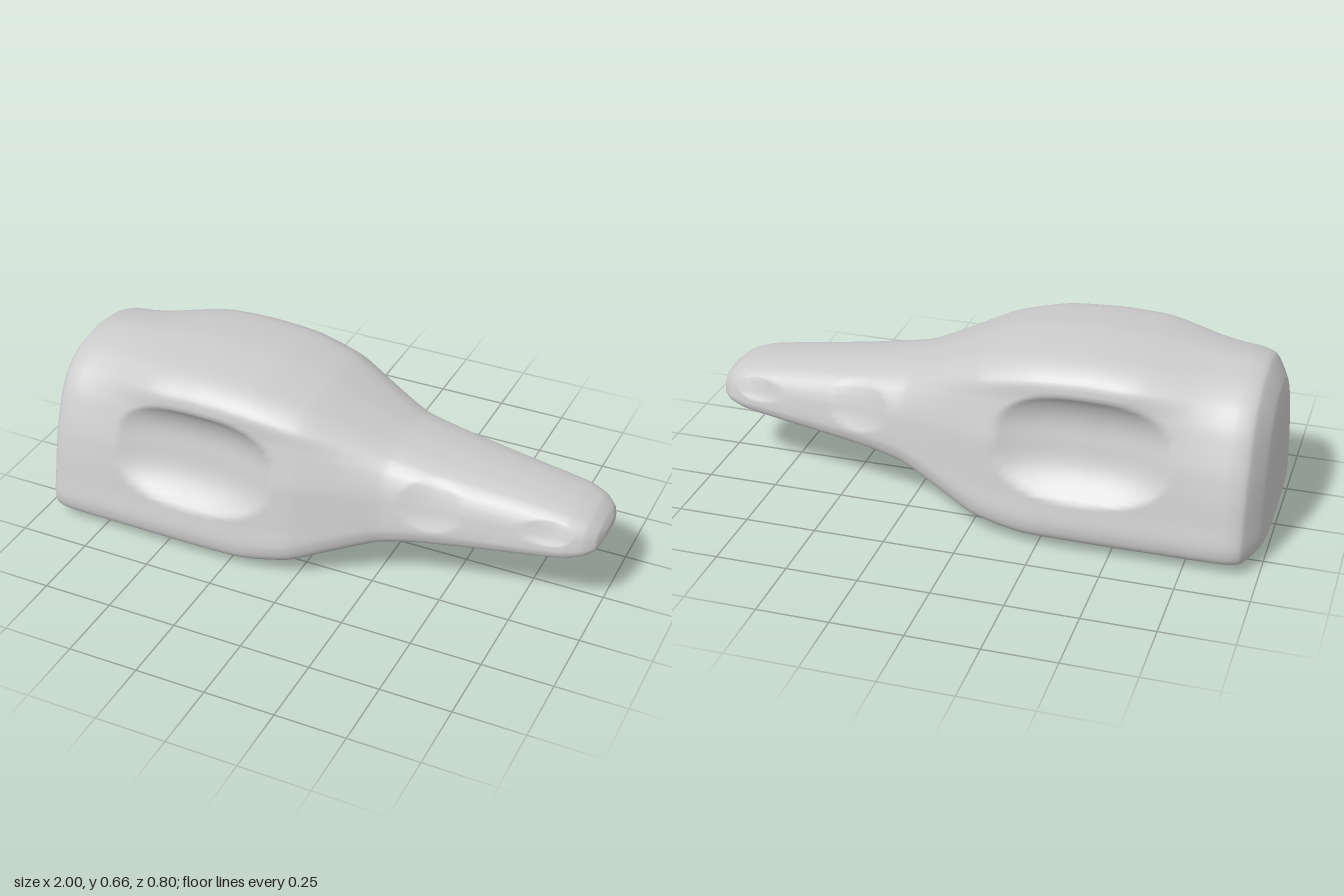
import * as THREE from 'three';

const { smoothstep } = THREE.MathUtils;
const RINGS_PER_SPAN = 10, SIDES = 132;

// Stations along the length: x, bottom y, top y, half width
const stations = [
  [-1, 0.28, 0.28, 0], [-1, 0.07, 0.45, 0.21], [-0.985, 0.03, 0.53, 0.285],
  [-0.94, 0.006, 0.6, 0.375], [-0.88, 0.002, 0.62, 0.394], [-0.73, 0, 0.636, 0.396],
  [-0.57, 0, 0.655, 0.399], [-0.39, 0, 0.663, 0.4], [-0.2, 0.003, 0.651, 0.396],
  [-0.02, 0.03, 0.61, 0.372], [0.13, 0.081, 0.546, 0.313], [0.27, 0.131, 0.487, 0.258],
  [0.42, 0.165, 0.456, 0.236], [0.6, 0.187, 0.431, 0.208], [0.8, 0.211, 0.405, 0.182],
  [0.89, 0.226, 0.389, 0.17], [0.95, 0.24, 0.368, 0.145], [0.985, 0.258, 0.34, 0.11],
  [1, 0.285, 0.315, 0.05], [1, 0.3, 0.3, 0],
];

// Half cross-sections from top to bottom: width fraction, height fraction
const rearHalf = [[0, 1], [0.36, 0.965], [0.58, 0.885], [0.71, 0.78], [0.795, 0.66], [0.86, 0.55],
  [0.915, 0.42], [0.96, 0.28], [1, 0.15], [0.95, 0.065], [0.64, 0.015], [0, 0]];
const bodyHalf = [[0, 1], [0.54, 0.97], [0.75, 0.89], [0.79, 0.78], [0.838, 0.66], [0.885, 0.55],
  [0.92, 0.42], [0.96, 0.28], [1, 0.15], [0.95, 0.065], [0.64, 0.015], [0, 0]];
const snoutHalf = [[0, 1], [0.38, 0.975], [0.62, 0.92], [0.77, 0.83], [0.86, 0.72], [0.92, 0.6],
  [0.96, 0.47], [0.99, 0.35], [1, 0.24], [0.93, 0.11], [0.6, 0.02], [0, 0]];

// Bowls mirrored on both sides: centre x, y, radii, depth, squareness
const dents = [
  { x: -0.39, y: 0.365, rx: 0.3, ry: 0.175, depth: 0.07, power: 2.6 }, // eye socket
  { x: 0.44, y: 0.34, rx: 0.11, ry: 0.085, depth: 0.014, power: 2.2 }, // cheek hollow
  { x: 0.83, y: 0.325, rx: 0.09, ry: 0.04, depth: 0.008, power: 2 }, // nostril
];

function sectionCurve(half) {
  const mirrored = half.slice(1, -1).reverse().map(([w, h]) => [-w, h]);
  const points = [...half, ...mirrored].map(([w, h]) => new THREE.Vector3(w, h, 0));
  return new THREE.CatmullRomCurve3(points, true, 'catmullrom', 0.4);
}

// Sharp rim with a rounded floor
function dentDepth(x, y) {
  let depth = 0;
  for (const d of dents) {
    const r = Math.abs((x - d.x) / d.rx) ** d.power + Math.abs((y - d.y) / d.ry) ** d.power;
    depth += d.depth * Math.max(0, 1 - r);
  }
  return depth;
}

function skullGeometry() {
  const profile = new THREE.CatmullRomCurve3(
    stations.map(([x, y0, y1]) => new THREE.Vector3(x, y0, y1)), false, 'catmullrom', 0.3);
  const widths = new THREE.CatmullRomCurve3(
    stations.map((s) => new THREE.Vector3(s[3], 0, 0)), false, 'catmullrom', 0.3);
  const rear = sectionCurve(rearHalf), body = sectionCurve(bodyHalf), snout = sectionCurve(snoutHalf);
  const rings = (stations.length - 1) * RINGS_PER_SPAN;
  const positions = [], indices = [];

  for (let i = 0; i <= rings; i++) {
    const p = profile.getPoint(i / rings);
    const width = widths.getPoint(i / rings).x;
    const toRear = 1 - smoothstep(p.x, -0.85, -0.5);
    const toSnout = smoothstep(p.x, -0.2, 0.4);
    for (let j = 0; j < SIDES; j++) {
      const t = j / SIDES;
      const s = body.getPoint(t).lerp(rear.getPoint(t), toRear).lerp(snout.getPoint(t), toSnout);
      const y = p.y + (p.z - p.y) * s.y;
      let z = width * s.x;
      // Press only the flanks inwards, leaving the crown and underside alone
      z -= Math.sign(z) * dentDepth(p.x, y) * smoothstep(Math.abs(s.x), 0.5, 0.7);
      positions.push(p.x, y, z);
      if (i < rings) {
        const a = i * SIDES + j, c = i * SIDES + (j + 1) % SIDES;
        const b = a + SIDES, d = c + SIDES;
        indices.push(a, c, b, b, c, d);
      }
    }
  }
  const geometry = new THREE.BufferGeometry();
  geometry.setAttribute('position', new THREE.Float32BufferAttribute(positions, 3));
  geometry.setIndex(indices);
  geometry.computeVertexNormals();
  return geometry;
}

export function createModel() {
  const group = new THREE.Group();
  group.name = 'animalSkull';
  const skull = new THREE.Mesh(skullGeometry(), new THREE.MeshStandardMaterial({ color: 0xcccccc }));
  skull.name = 'skull';
  group.add(skull);
  return group;
}
